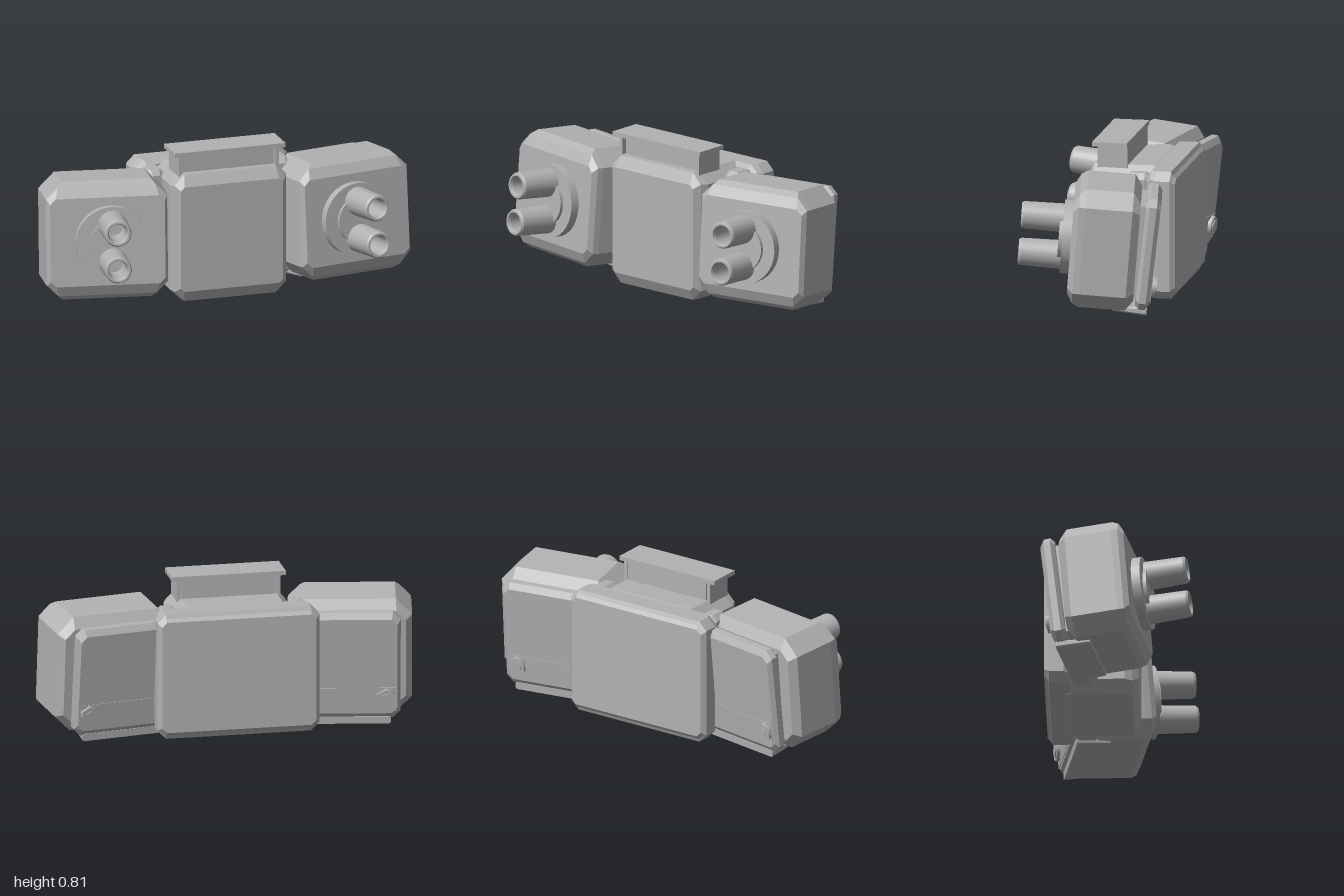
import * as THREE from 'three';

const grey = new THREE.MeshStandardMaterial({ color: 0xb2b2b2 });
grey.name = 'plain grey';

// Flat-faced block lofted front to back through octagons [z, halfWidth, halfHeight, corner].
function block(sections) {
  const rings = sections.map(([z, w, h, c]) => [
    [w, c - h, z], [w, h - c, z], [w - c, h, z], [c - w, h, z],
    [-w, h - c, z], [-w, c - h, z], [c - w, -h, z], [w - c, -h, z],
  ]);
  const pos = [];
  const tri = (...points) => points.forEach((p) => pos.push(...p));
  for (let i = 0; i < rings.length - 1; i++) {
    for (let j = 0; j < 8; j++) {
      const k = (j + 1) % 8;
      const [a, b, c, d] = [rings[i][j], rings[i][k], rings[i + 1][k], rings[i + 1][j]];
      tri(a, d, b);
      tri(b, d, c);
    }
  }
  const front = rings[0], back = rings[rings.length - 1];
  for (let j = 1; j < 7; j++) {
    tri(front[0], front[j], front[j + 1]);
    tri(back[0], back[j + 1], back[j]);
  }
  const geo = new THREE.BufferGeometry();
  geo.setAttribute('position', new THREE.Float32BufferAttribute(pos, 3));
  geo.computeVertexNormals();
  return geo;
}

function add(parent, name, geo, x = 0, y = 0, z = 0) {
  const mesh = new THREE.Mesh(geo, grey);
  mesh.name = name;
  mesh.position.set(x, y, z);
  parent.add(mesh);
  return mesh;
}

const box = (w, h, d) => new THREE.BoxGeometry(w, h, d);
const disc = (r1, r2, depth, sides) => new THREE.CylinderGeometry(r1, r2, depth, sides).rotateX(Math.PI / 2);

// Hollow barrel along +z, each straight run lathed alone so rims stay sharp.
function addBarrel(parent, x, y) {
  const barrel = new THREE.Group();
  barrel.name = 'barrel';
  barrel.position.set(x, y, 0);
  const profile = [[0.076, 0.19], [0.071, 0.42], [0.064, 0.432], [0.054, 0.432], [0.048, 0.415], [0.048, 0.25], [0, 0.25]]
    .map(([r, z]) => new THREE.Vector2(r, z));
  const names = ['barrelWall', 'outerRim', 'muzzleRing', 'innerRim', 'bore', 'boreFloor'];
  names.forEach((name, i) => {
    add(barrel, name, new THREE.LatheGeometry([profile[i], profile[i + 1]], 28).rotateX(Math.PI / 2));
  });
  parent.add(barrel);
}

// Side pod: angled outward and slightly upward, with turret and rear panel.
function addPod(parent, side) {
  const pod = new THREE.Group();
  pod.name = side > 0 ? 'leftPod' : 'rightPod';
  pod.position.set(side * 0.655, 0.367, -0.05);
  pod.rotation.order = 'YXZ';
  pod.rotation.set(-0.08, side * 0.178, 0);
  parent.add(pod);

  add(pod, 'podBody', block([
    [0.163, 0.302, 0.235, 0.03],
    [0.135, 0.318, 0.29, 0.06],
    [0.1, 0.322, 0.315, 0.085],
    [-0.145, 0.322, 0.315, 0.085],
    [-0.185, 0.29, 0.26, 0.05],
  ]));

  const tx = side * -0.018;
  add(pod, 'turretFlange', disc(0.193, 0.193, 0.08, 32), tx, 0, 0.17);
  add(pod, 'turretBoss', disc(0.123, 0.123, 0.02, 32), tx, 0, 0.218);
  for (const y of [0.098, -0.098]) addBarrel(pod, tx, y);

  // Rear panel and the pieces joining it to the pod
  add(pod, 'panelSpacer', box(0.44, 0.5, 0.08), 0, -0.01, -0.185);
  add(pod, 'lowerBracket', block([
    [0.09, 0.21, 0.014, 0.008], [-0.09, 0.23, 0.02, 0.008],
  ]), side * -0.02, -0.318, -0.17);
  const panel = new THREE.Group();
  panel.name = 'rearPanel';
  panel.position.set(0, -0.01, -0.245);
  panel.rotation.x = -0.035;
  pod.add(panel);
  add(panel, 'panelPlate', block([
    [0.04, 0.24, 0.275, 0.03],
    [0.02, 0.26, 0.297, 0.04],
    [-0.015, 0.26, 0.297, 0.04],
    [-0.037, 0.243, 0.265, 0.03],
  ]));
  add(panel, 'panelLowerStep', box(0.47, 0.13, 0.006), 0, -0.185, -0.037);
  add(panel, 'hexBolt', disc(0.052, 0.052, 0.03, 6), side * 0.185, -0.175, -0.044);
  add(panel, 'boltCentre', disc(0.03, 0.03, 0.008, 6), side * 0.185, -0.175, -0.06);
}

export function createModel() {
  const model = new THREE.Group();
  model.name = 'twinTurretUnit';

  // Central body
  add(model, 'centreBody', block([
    [0.103, 0.28, 0.285, 0.02],
    [0.07, 0.305, 0.345, 0.055],
    [0.03, 0.32, 0.345, 0.06],
    [-0.25, 0.315, 0.345, 0.06],
    [-0.29, 0.29, 0.335, 0.06],
  ]), 0, 0.345, 0);

  // Back plate
  add(model, 'backPlate', block([
    [-0.235, 0.395, 0.315, 0.04],
    [-0.255, 0.41, 0.338, 0.04],
    [-0.285, 0.43, 0.338, 0.045],
    [-0.362, 0.43, 0.338, 0.045],
    [-0.372, 0.422, 0.318, 0.035],
    [-0.388, 0.41, 0.3, 0.025],
  ]), 0, 0.349, 0);

  // Top mount with end posts and overhanging slab
  add(model, 'mountBlock', box(0.5, 0.12, 0.14), 0, 0.73, -0.04);
  for (const side of [1, -1]) {
    add(model, 'mountPost', box(0.02, 0.12, 0.16), side * 0.265, 0.73, -0.03);
  }
  add(model, 'mountSlab', box(0.606, 0.023, 0.186), 0, 0.799, -0.018);

  for (const side of [1, -1]) {
    // Upright rail beside the body
    add(model, 'sideRail', block([
      [-0.11, 0.04, 0.29, 0.02],
      [-0.14, 0.055, 0.322, 0.03],
      [-0.22, 0.055, 0.322, 0.03],
      [-0.25, 0.045, 0.3, 0.02],
    ]), side * 0.345, 0.349, 0);
    addPod(model, side);
  }
  return model;
}
